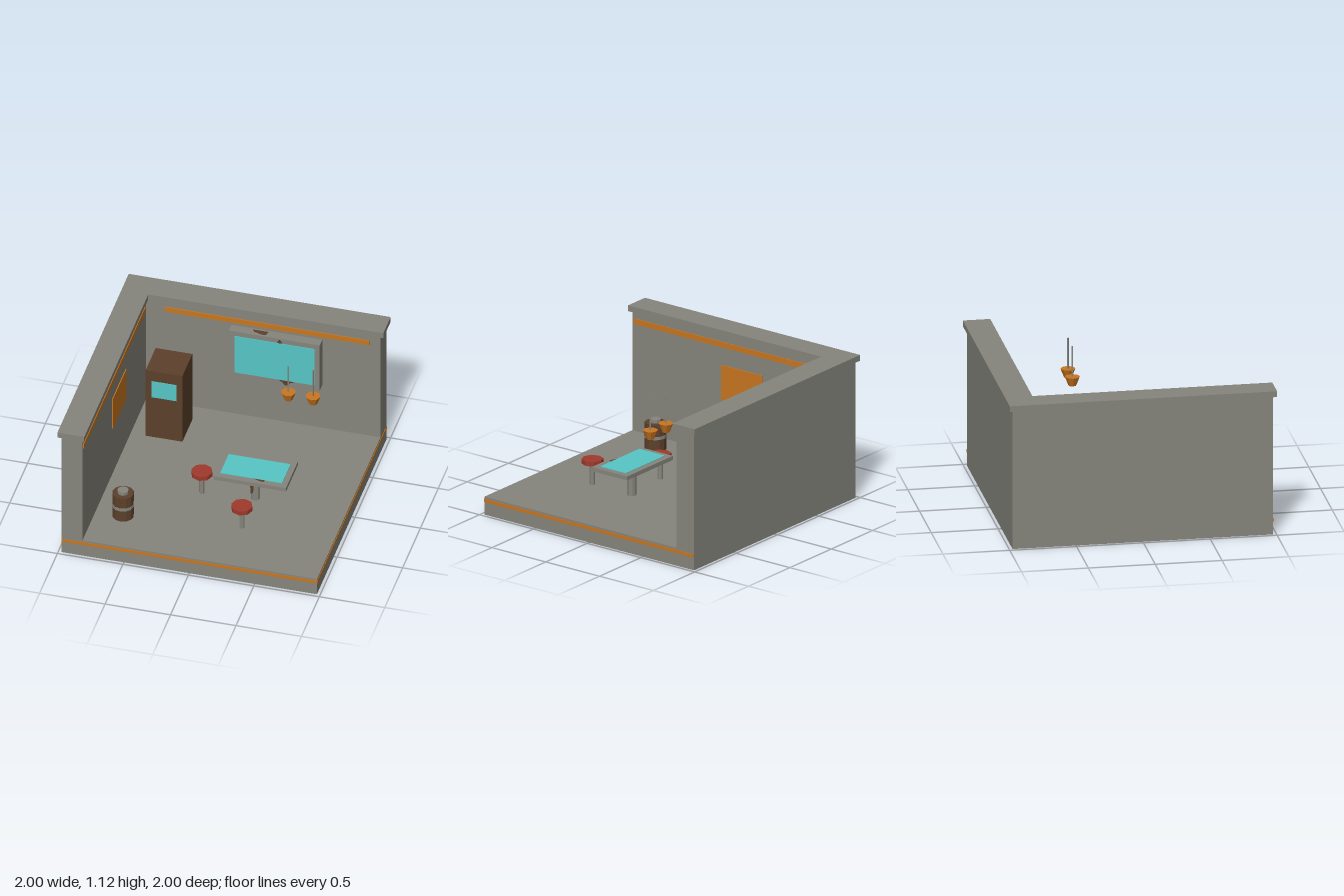
import * as THREE from 'three';

const mat = (name, color, extra = {}) => {
  const m = new THREE.MeshStandardMaterial({ color, flatShading: true, ...extra });
  m.name = name;
  return m;
};

export function createModel() {
  const concrete = mat('concrete grey', 0x86857c);
  const orange = mat('orange paint', 0xc87620);
  const cyan = mat('screen cyan', 0x57c5c5);
  const rust = mat('rust brown', 0x5c402b, { side: THREE.DoubleSide });
  const red = mat('seat red', 0xa0392c);
  const root = new THREE.Group();
  root.name = 'diorama';

  const add = (name, geometry, material, parent = root) => {
    const mesh = new THREE.Mesh(geometry, material);
    mesh.name = name;
    parent.add(mesh);
    return mesh;
  };
  // Box given by its limits on each axis
  const box = (name, material, [x0, x1], [y0, y1], [z0, z1], parent) =>
    add(name, new THREE.BoxGeometry(x1 - x0, y1 - y0, z1 - z0)
      .translate((x0 + x1) / 2, (y0 + y1) / 2, (z0 + z1) / 2), material, parent);
  // Upright cylinder between two heights
  const post = (name, material, rTop, rBottom, y0, y1, sides, parent) =>
    add(name, new THREE.CylinderGeometry(rTop, rBottom, y1 - y0, sides)
      .translate(0, (y0 + y1) / 2, 0), material, parent);
  const groupAt = (name, x, z) => {
    const g = new THREE.Group();
    g.name = name;
    g.position.set(x, 0, z);
    root.add(g);
    return g;
  };
  // Flat irregular rust patch, drawn in its own xy plane
  const patch = (name, points) =>
    add(name, new THREE.ShapeGeometry(
      new THREE.Shape(points.map(([x, y]) => new THREE.Vector2(x, y)))), rust);

  // Room shell: base slab, two walls and their coping
  const E = 0.975, F = 0.14;
  box('base', concrete, [-E, E], [0, F], [-E, E]);
  box('backWall', concrete, [-E, E], [F, 1.075], [-E, -0.81]);
  box('leftWall', concrete, [-E, -0.815], [F, 1.075], [-0.81, E]);
  box('backCoping', concrete, [-1, 1], [1.075, 1.12], [-1, -0.795]);
  box('leftCoping', concrete, [-1, -0.795], [1.075, 1.12], [-0.795, 1]);

  // Painted stripes and wall panel
  box('baseStripeFront', orange, [-E, E], [0.1, 0.125], [E, E + 0.004]);
  box('baseStripeRight', orange, [E, E + 0.004], [0.1, 0.125], [-E, E]);
  box('backWallStripe', orange, [-0.67, 0.89], [0.98, 1.022], [-0.81, -0.803]);
  box('leftWallStripe', orange, [-0.815, -0.808], [0.98, 1.022], [-0.77, 0.96]);
  box('wallPanel', orange, [-0.815, -0.808], [0.565, 0.84], [-0.235, 0.145]);

  // Wall screen
  box('screenFrame', concrete, [-0.165, 0.53], [0.535, 0.955], [-0.81, -0.737]);
  box('screenGlass', cyan, [-0.12, 0.49], [0.58, 0.915], [-0.737, -0.732]);
  patch('screenRustLow', [[0.21, 0.58], [0.25, 0.555], [0.26, 0.537],
    [0.285, 0.536], [0.305, 0.565], [0.33, 0.57], [0.33, 0.58]]).position.z = -0.735;
  patch('screenRustHigh', [[0.205, 0.915], [0.215, 0.94], [0.225, 0.946],
    [0.235, 0.94], [0.245, 0.915]]).position.z = -0.735;
  const topRust = patch('screenRustTop', [[0.005, 0.795], [0.125, 0.795],
    [0.115, 0.752], [0.085, 0.75], [0.02, 0.77]]);
  topRust.rotation.x = -Math.PI / 2;
  topRust.position.y = 0.957;

  // Cabinet
  box('cabinet', rust, [-0.7, -0.42], [F, 0.747], [-0.655, -0.375]);
  box('cabinetScreen', cyan, [-0.655, -0.465], [0.51, 0.655], [-0.375, -0.369]);

  // Table with an inset display
  box('tableTop', concrete, [0, 0.555], [0.37, 0.402], [-0.03, 0.3]);
  box('tableDisplay', cyan, [0.04, 0.512], [0.402, 0.406], [0.015, 0.253]);
  const tableRust = patch('tableRust', [[0.28, -0.25], [0.385, -0.25],
    [0.375, -0.275], [0.345, -0.272]]);
  tableRust.rotation.x = -Math.PI / 2;
  tableRust.position.y = 0.404;
  post('tableLeg', concrete, 0.035, 0.035, F, 0.37, 8, groupAt('tablePedestal', 0.278, 0.14));
  patch('legRust', [[0.247, 0.35], [0.272, 0.36], [0.278, 0.3],
    [0.27, 0.21], [0.25, 0.2]]).position.z = 0.178;

  // Stools
  for (const [x, z] of [[-0.12, 0.18], [0.275, 0.508]]) {
    const stool = groupAt('stool', x, z);
    post('stoolLeg', concrete, 0.02, 0.02, F, 0.305, 8, stool);
    post('stoolSeat', red, 0.081, 0.081, 0.305, 0.34, 8, stool);
  }

  // Hanging lamps
  for (const x of [0.415, 0.603]) {
    const lamp = groupAt('lamp', x, -0.283);
    post('lampRod', concrete, 0.006, 0.006, 0.83, 1.075, 6, lamp);
    post('lampShade', orange, 0.056, 0.03, 0.77, 0.838, 8, lamp);
  }

  // Barrel
  const barrel = groupAt('barrel', -0.607, 0.6);
  post('barrelBody', rust, 0.081, 0.081, F, 0.35, 12, barrel);
  post('barrelBand', concrete, 0.084, 0.084, 0.235, 0.26, 12, barrel);
  post('barrelLid', concrete, 0.042, 0.042, 0.35, 0.376, 10, barrel);

  return root;
}
